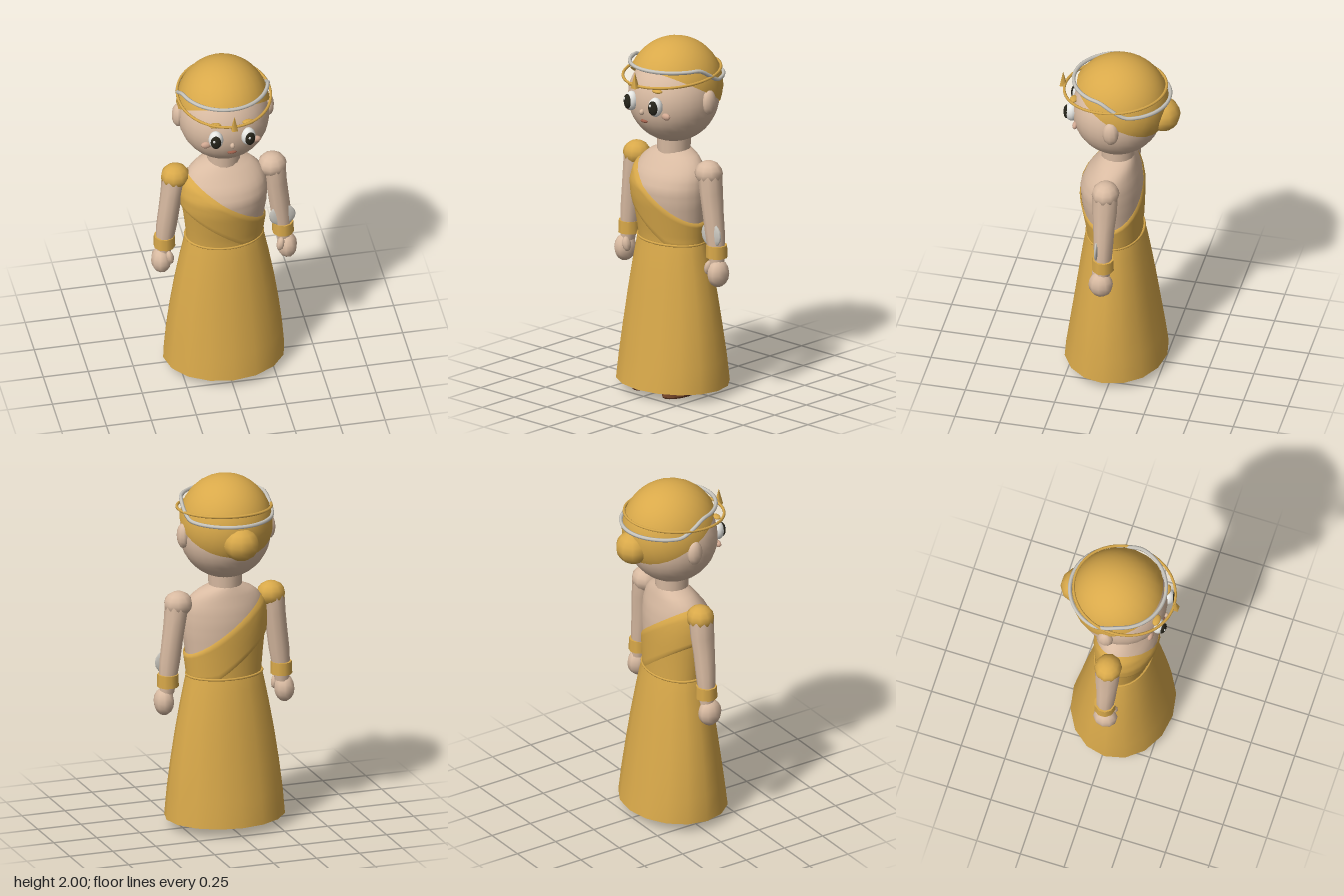
import * as THREE from 'three';

const mat = (name, color) => new THREE.MeshStandardMaterial({ name, color });

export function createModel() {
  const model = new THREE.Group();
  model.name = 'robedFigure';
  const skin = mat('skin', 0xd9bba2), gold = mat('gold', 0xd9a94a), silver = mat('silver', 0xcac7bf);
  const white = mat('eyeWhite', 0xeeeeea), dark = mat('pupil', 0x26241a), brown = mat('leather', 0x7d4a2c);
  const lip = mat('lips', 0xa0604c), blush = mat('blush', 0xd2a992), sole = mat('sole', 0x4a2a1a);
  gold.side = THREE.DoubleSide;

  const add = (name, geo, material, pos = [0, 0, 0], parent = model) => {
    const mesh = new THREE.Mesh(geo, material);
    mesh.name = name;
    mesh.position.set(...pos);
    parent.add(mesh);
    return mesh;
  };
  const ellipsoid = (name, material, pos, r, parent = model, w = 14, h = 10) =>
    add(name, new THREE.SphereGeometry(1, w, h).scale(...r), material, pos, parent);

  // Closed-around surface from fn(angle, v); angle 0 is the front, v runs upward
  const surface = (fn, nu, nv) => {
    const pos = [], idx = [];
    for (let j = 0; j <= nv; j++)
      for (let i = 0; i < nu; i++) pos.push(...fn((i / nu) * Math.PI * 2, j / nv));
    for (let j = 0; j < nv; j++)
      for (let i = 0; i < nu; i++) {
        const a = j * nu + i, b = j * nu + (i + 1) % nu;
        idx.push(a, b, b + nu, a, b + nu, a + nu);
      }
    const g = new THREE.BufferGeometry();
    g.setAttribute('position', new THREE.Float32BufferAttribute(pos, 3));
    g.setIndex(idx);
    g.computeVertexNormals();
    return g;
  };
  // Rings are [x, y, z, radiusX, radiusZ], bottom to top
  const loft = (rings, n) => surface((t, v) => {
    const [x, y, z, rx, rz] = rings[Math.round(v * (rings.length - 1))];
    return [x + rx * Math.sin(t), y, z + rz * Math.cos(t)];
  }, n, rings.length - 1);

  // Torso: height, half width, front depth, back depth
  const profile = [
    [0.82, 0.2, 0.165, 0.12], [0.9, 0.207, 0.172, 0.12], [1.0, 0.218, 0.19, 0.122], [1.1, 0.232, 0.208, 0.125],
    [1.18, 0.236, 0.213, 0.124], [1.25, 0.228, 0.185, 0.115], [1.31, 0.2, 0.14, 0.1],
    [1.35, 0.15, 0.108, 0.09], [1.375, 0.09, 0.085, 0.08],
  ];
  const torsoPoint = (t, y, s) => {
    let k = 0;
    while (k < profile.length - 2 && y > profile[k + 1][0]) k++;
    const a = profile[k], b = profile[k + 1];
    const f = (y - a[0]) / (b[0] - a[0]);
    const [w, front, back] = [1, 2, 3].map(i => a[i] + (b[i] - a[i]) * f);
    return [w * s * Math.sin(t), y, (front - back) / 2 + (front + back) / 2 * s * Math.cos(t)];
  };
  add('torso', surface((t, v) => torsoPoint(t, 0.82 + 0.555 * v, 1), 24, 22), skin);

  // Height where the torso meets the slanted plane y = a - 0.73x
  const cut = (t, a) => {
    let lo = 0.85, hi = 1.35;
    for (let i = 0; i < 24; i++) {
      const y = (lo + hi) / 2;
      if (y + 0.73 * torsoPoint(t, y, 1.03)[0] > a) hi = y; else lo = y;
    }
    return lo;
  };
  add('bodice', surface((t, v) => torsoPoint(t, 0.83 + (cut(t, 1.05) - 0.83) * v, 1.025), 32, 8), gold);
  add('sash', surface((t, v) => {
    const y0 = cut(t, 0.915), y1 = cut(t, 1.153);
    return torsoPoint(t, y0 + (y1 - y0) * v, v === 0 || v === 1 ? 1.01 : 1.06);
  }, 32, 12), gold);

  // Skirt and waistband
  add('skirt', loft([
    [0, 0.05, 0.018, 0.337, 0.283], [0, 0.2, 0.018, 0.325, 0.262], [0, 0.36, 0.019, 0.306, 0.238],
    [0, 0.54, 0.02, 0.279, 0.212], [0, 0.7, 0.022, 0.25, 0.188], [0, 0.8, 0.023, 0.23, 0.171], [0, 0.862, 0.024, 0.217, 0.159],
  ], 16), gold);
  add('waistTop', loft([[0, 0.862, 0.024, 0.217, 0.159], [0, 0.868, 0.024, 0.15, 0.1]], 16), gold);
  const belt = add('waistband', new THREE.TorusGeometry(1, 0.035, 6, 32), gold, [0, 0.865, 0.024]);
  belt.rotation.x = Math.PI / 2;
  belt.scale.set(0.214, 0.156, 0.2);

  // Neck and head
  add('neck', new THREE.CylinderGeometry(0.095, 0.09, 0.12, 16), skin, [0, 1.4, 0.01]);
  ellipsoid('head', skin, [0, 1.67, 0.012], [0.25, 0.252, 0.25], model, 28, 20);
  const hair = add('hair', new THREE.SphereGeometry(0.27, 28, 12, 0, Math.PI * 2, 0, Math.PI / 2), gold, [0, 1.73, 0]);
  hair.rotation.x = -Math.PI / 6;
  hair.scale.x = 0.945;
  ellipsoid('hairBun', gold, [0, 1.675, -0.245], [0.1, 0.092, 0.092], model, 10, 8);
  ellipsoid('nose', skin, [0, 1.63, 0.262], [0.014, 0.017, 0.016], model, 8, 6);
  ellipsoid('mouth', lip, [0, 1.575, 0.245], [0.027, 0.009, 0.012], model, 10, 6);

  // Headbands
  const band = (name, material, r, rx, rz, cz, height) => {
    const pts = [];
    for (let i = 0; i < 24; i++) {
      const t = (i / 24) * Math.PI * 2, z = cz + rz * Math.cos(t);
      pts.push(new THREE.Vector3(rx * Math.sin(t), height(z), z));
    }
    add(name, new THREE.TubeGeometry(new THREE.CatmullRomCurve3(pts, true), 72, r, 6, true), material);
  };
  band('goldCirclet', gold, 0.008, 0.255, 0.281, 0.025, z => 1.815 - (z - 0.025) * 0.085);
  band('silverBand', silver, 0.011, 0.247, 0.265, -0.012,
    z => 1.785 + 0.085 * THREE.MathUtils.clamp((z + 0.09) / 0.15, 0, 1));
  const spike = add('circletSpike', new THREE.ConeGeometry(0.024, 0.09, 4), gold, [0, 1.825, 0.318]);
  spike.rotation.y = Math.PI / 4;

  for (const s of [1, -1]) {
    const side = s > 0 ? 'left' : 'right';

    // Face details and ear
    const eye = new THREE.Group();
    eye.name = side + 'Eye';
    eye.position.set(s * 0.09, 1.675, 0.25);
    eye.rotation.y = s * 0.2;
    model.add(eye);
    ellipsoid('eyeWhite', white, [0, 0, 0], [0.041, 0.054, 0.037], eye);
    ellipsoid('pupil', dark, [0, 0, 0.027], [0.029, 0.041, 0.017], eye);
    ellipsoid('eyeGlint', white, [-0.009, 0.016, 0.042], [0.007, 0.009, 0.004], eye, 8, 6);
    ellipsoid(side + 'Brow', gold, [s * 0.092, 1.763, 0.238], [0.035, 0.011, 0.022], model, 10, 6);
    ellipsoid(side + 'Cheek', blush, [s * 0.138, 1.623, 0.218], [0.03, 0.02, 0.016], model, 10, 8);
    ellipsoid(side + 'Ear', skin, [s * 0.25, 1.68, -0.005], [0.034, 0.07, 0.046], model, 10, 8);

    // Arm, hand and bracelet
    ellipsoid(side + 'Shoulder', s > 0 ? skin : gold, [s * 0.27, 1.285, 0.018], [0.08, 0.07, 0.076], model, 10, 8);
    add(side + 'Arm', loft([
      [s * 0.335, 0.78, 0.02, 0.04, 0.04], [s * 0.328, 0.87, 0.02, 0.05, 0.048], [s * 0.318, 0.96, 0.02, 0.057, 0.054],
      [s * 0.303, 1.08, 0.02, 0.058, 0.06], [s * 0.29, 1.18, 0.018, 0.06, 0.068], [s * 0.278, 1.28, 0.018, 0.066, 0.07],
    ], 10), skin);
    add(side + 'Bracelet', new THREE.CylinderGeometry(0.058, 0.06, 0.07, 10), gold, [s * 0.33, 0.853, 0.018]);
    ellipsoid(side + 'Hand', skin, [s * 0.35, 0.73, 0.027], [0.056, 0.077, 0.068], model, 10, 8);
    const thumb = ellipsoid(side + 'Thumb', skin, [s * 0.308, 0.762, 0.06], [0.022, 0.042, 0.026], model, 8, 6);
    thumb.rotation.z = -s * 0.2;

    // Leg and sandal
    const x = s * 0.112;
    add(side + 'Leg', new THREE.CylinderGeometry(0.075, 0.048, 0.75, 12), skin, [x, 0.435, 0.01]);
    ellipsoid(side + 'Foot', skin, [x, 0.055, 0.075], [0.056, 0.045, 0.115], model, 12, 8);
    const slab = (name, m, y, h, k) =>
      add(name, new THREE.CylinderGeometry(0.068 * k, 0.068 * k, h, 16).scale(1, 1, 1.88), m, [x, y, 0.077]);
    slab(side + 'Sole', sole, 0.004, 0.008, 0.98);
    slab(side + 'Sandal', brown, 0.02, 0.024, 1);
    slab(side + 'SandalStrap', brown, 0.042, 0.012, 0.92);
    add(side + 'AnkleStrap', new THREE.CylinderGeometry(0.056, 0.056, 0.022, 12), brown, [x, 0.13, 0.01]);
  }
  // Silver disc on the left forearm
  ellipsoid('armDisc', silver, [0.32, 0.95, 0.05], [0.074, 0.07, 0.014], model, 14, 8);

  return model;
}
